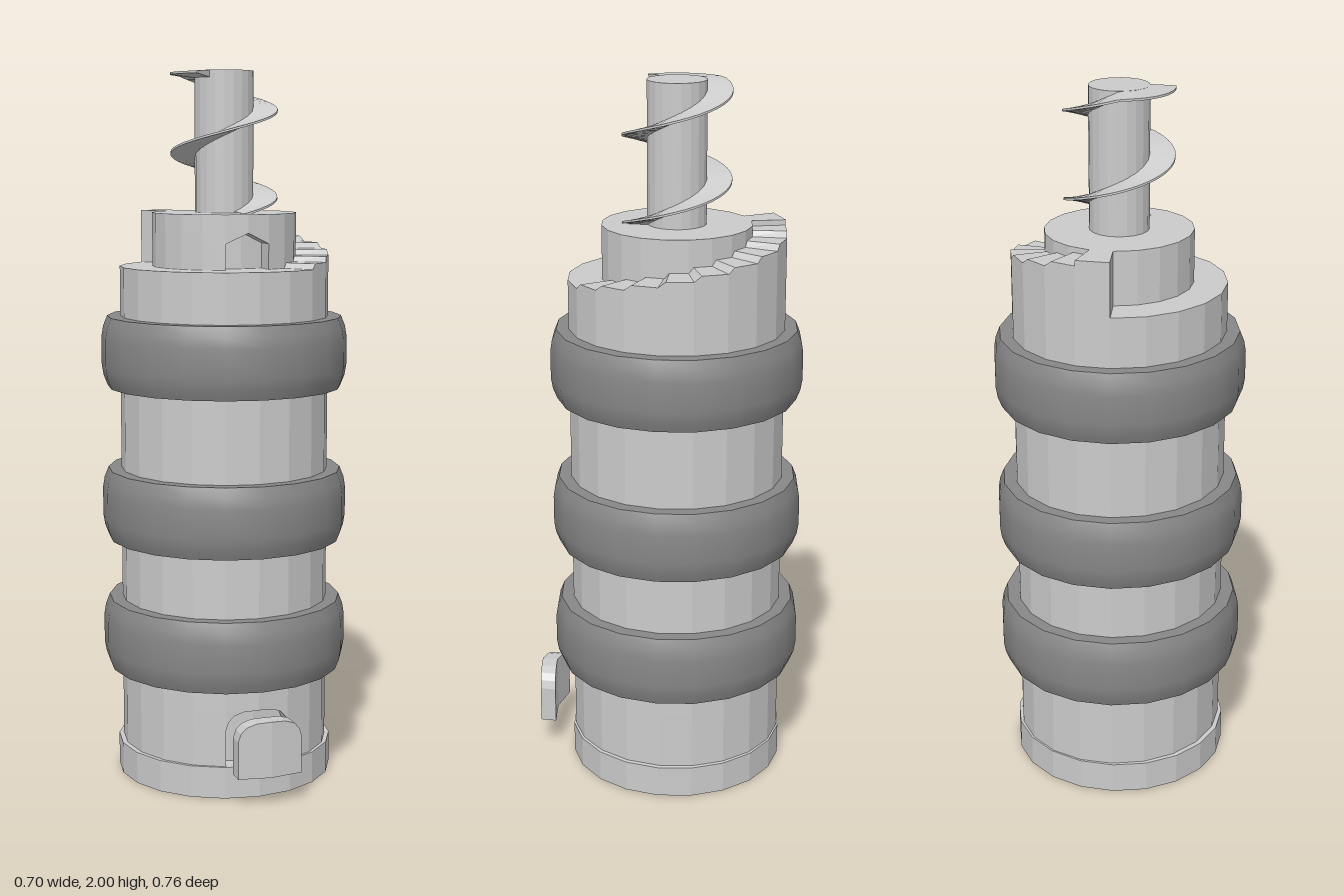
import * as THREE from 'three';
import { toCreasedNormals } from 'three/addons/utils/BufferGeometryUtils.js';

const SIDES = 20, STEP = Math.PI * 2 / SIDES, FLATTEN = 0.97;
const grey = new THREE.MeshStandardMaterial({ color: 0xcccccc, flatShading: true });
const dark = new THREE.MeshStandardMaterial({ color: 0x888888 });

function add(parent, name, geometry, material = grey) {
  const mesh = new THREE.Mesh(geometry, material);
  mesh.name = name;
  parent.add(mesh);
  return mesh;
}

function cylinder(parent, name, r, y0, y1) {
  const g = new THREE.CylinderGeometry(r, r, y1 - y0, SIDES);
  return add(parent, name, g.translate(0, (y0 + y1) / 2, 0));
}

// Point on a circle, angle measured from the front (+z) towards +x
const polar = (a, r, y) => [Math.sin(a) * r, y, Math.cos(a) * r];

// Extrudes a half outline on both sides of x = 0 and folds it along the two front facets
function foldedPanel(parent, name, points, front, depth) {
  const group = new THREE.Group();
  group.name = name;
  for (const side of [1, -1]) {
    const shape = new THREE.Shape(points.map(([x, y]) => new THREE.Vector2(side * x, y)));
    const g = new THREE.ExtrudeGeometry(shape, { depth, bevelEnabled: false });
    const p = g.attributes.position;
    for (let i = 0; i < p.count; i++) {
      p.setZ(i, p.getZ(i) + front - depth - Math.abs(p.getX(i)) * Math.tan(STEP / 2));
    }
    g.computeVertexNormals();
    add(group, name + (side > 0 ? 'Left' : 'Right'), g);
  }
  parent.add(group);
  return group;
}

// Many-sided drum with an arched niche across its two front facets
function nichedDrum(parent, name, r, y0, y1, arch, depth) {
  const group = new THREE.Group();
  group.name = name;
  const w = r * Math.sin(STEP), zc = r * Math.cos(STEP);
  const top = arch[arch.length - 1][1];
  const outline = [];
  for (let i = 1; i < SIDES; i++) {
    const [x, , z] = polar(i * STEP, r, 0);
    outline.push(new THREE.Vector2(x, -z));
  }
  outline.push(new THREE.Vector2(-w, depth - zc), new THREE.Vector2(0, depth - r),
    new THREE.Vector2(w, depth - zc));
  const lower = new THREE.ExtrudeGeometry(new THREE.Shape(outline), { depth: top - y0, bevelEnabled: false });
  lower.rotateX(-Math.PI / 2).translate(0, y0, 0);
  add(group, name + 'Lower', lower);
  cylinder(group, name + 'Upper', r, top, y1);
  // filling between the arch and the top of the niche
  foldedPanel(group, name + 'Arch', [[w, top], ...arch.map(([x, y]) => [x * w, y])], r, depth);
  group.scale.x = FLATTEN;
  parent.add(group);
}

// Curved stair: steps with sloping risers, ending in a landing level with the drum
function stairGeometry(inner, outer, base, top) {
  const count = 10, rise = (top - base) / count, sections = [];
  for (let i = 0; i < count; i++) {
    const a = (i + 2) * STEP, lean = STEP * 0.22;
    const last = i >= count - 1;
    const chord = Math.cos(STEP / 2) / Math.cos(STEP / 2 - lean);
    sections.push([a, base + rise * i, outer]);
    sections.push([a + lean * (last ? 0.02 : 1), base + rise * (i + 1), outer * (last ? 1 : chord)]);
  }
  sections.push([(count + 2) * STEP, top, outer]);
  const pos = [];
  const quad = (a, b, c, d) => pos.push(...a, ...b, ...c, ...a, ...c, ...d);
  const corners = ([a, h, r]) => [polar(a, inner, base), polar(a, r, base), polar(a, r, h), polar(a, inner, h)];
  for (let i = 0; i < sections.length - 1; i++) {
    const p = corners(sections[i]), q = corners(sections[i + 1]);
    quad(p[1], q[1], q[2], p[2]);
    quad(p[3], p[2], q[2], q[3]);
    quad(q[0], p[0], p[3], q[3]);
  }
  const e = corners(sections[sections.length - 1]);
  quad(e[1], e[0], e[3], e[2]);
  const g = new THREE.BufferGeometry();
  g.setAttribute('position', new THREE.Float32BufferAttribute(pos, 3));
  g.computeVertexNormals();
  return g;
}

// Screw blade: thin wedge section swept up a helix and levelled off at the top
function bladeGeometry(inner, outer, y0, top, pitch) {
  const start = 0.05, end = THREE.MathUtils.degToRad(672), n = 64;
  const pos = [], index = [];
  for (let i = 0; i <= n; i++) {
    const a = start + (end - start) * i / n;
    const y = Math.min(top - 0.008, y0 + pitch * a / (Math.PI * 2));
    pos.push(...polar(a, inner, y - 0.012), ...polar(a, outer, y - 0.003),
      ...polar(a, outer, y + 0.003), ...polar(a, inner, y + 0.008));
    if (i === n) break;
    for (let k = 0; k < 4; k++) {
      const p = i * 4 + k, q = i * 4 + (k + 1) % 4;
      index.push(p, p + 4, q, q, p + 4, q + 4);
    }
  }
  const l = n * 4;
  index.push(0, 1, 2, 0, 2, 3, l, l + 2, l + 1, l, l + 3, l + 2);
  const g = new THREE.BufferGeometry();
  g.setAttribute('position', new THREE.Float32BufferAttribute(pos, 3));
  g.setIndex(index);
  return toCreasedNormals(g, 0.6);
}

export function createModel() {
  const model = new THREE.Group();
  model.name = 'tower';
  const tower = new THREE.Group();
  tower.name = 'towerBody';
  tower.position.z = -0.025;
  model.add(tower);

  // Base and main body with its doorway
  cylinder(tower, 'base', 0.308, 0, 0.09);
  const arch = [[1, 0.195], [0.92, 0.218], [0.75, 0.235], [0.45, 0.245], [0, 0.248]];
  nichedDrum(tower, 'body', 0.303, 0.09, 1.46, arch, 0.05);

  // Door standing off in front of its doorway
  foldedPanel(tower, 'door', [[0, 0.09], [0.092, 0.09], ...arch.map(([x, y]) => [x * 0.092, y])], 0.41, 0.045);

  // Three dark bands with bevelled rims
  for (const [y0, y1] of [[0.31, 0.51], [0.685, 0.885], [1.12, 1.32]]) {
    const profile = [[0.28, y0], [0.338, y0], [0.35, y0 + 0.03], [0.355, y0 + 0.06],
      [0.355, y1 - 0.06], [0.35, y1 - 0.03], [0.338, y1], [0.28, y1]];
    const g = new THREE.LatheGeometry(profile.map(([x, y]) => new THREE.Vector2(x, y)), SIDES);
    add(tower, 'band', toCreasedNormals(g, 0.6), dark).scale.x = 0.98;
  }

  // Upper drum with a pointed niche, and the stair winding round it
  nichedDrum(tower, 'upperDrum', 0.208, 1.46, 1.61, [[1, 1.53], [0, 1.56]], 0.06);
  add(tower, 'stair', stairGeometry(0.2, 0.303, 1.46, 1.61)).scale.x = FLATTEN;

  // Screw on top
  cylinder(tower, 'screwShaft', 0.082, 1.61, 2);
  const bladeMaterial = new THREE.MeshStandardMaterial({ color: 0xcccccc });
  add(tower, 'screwBlade', bladeGeometry(0.075, 0.15, 1.605, 2, 0.24), bladeMaterial);

  return model;
}
